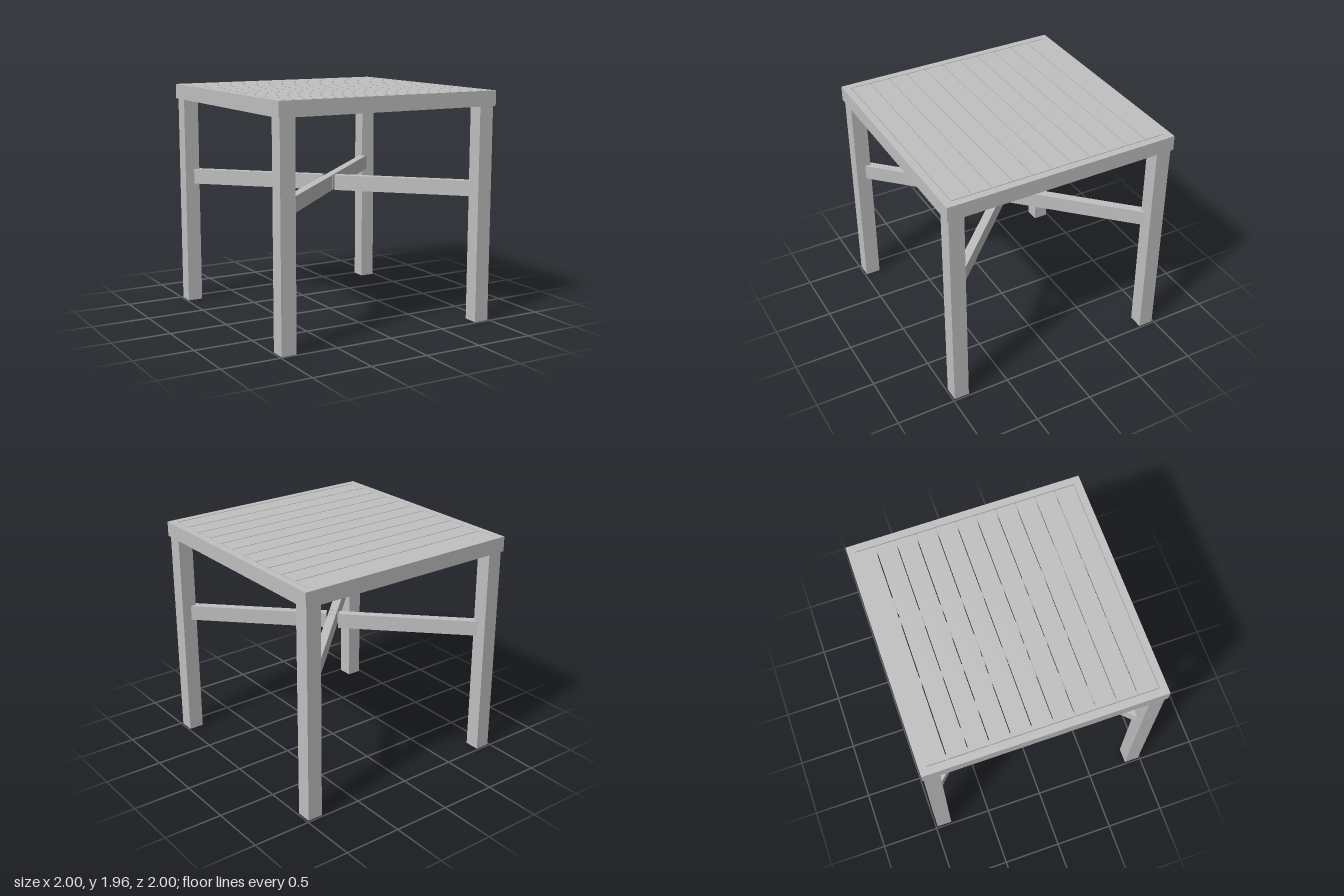
import * as THREE from 'three';

export function createModel() {
  const table = new THREE.Group();
  table.name = 'slattedTable';
  const grey = new THREE.MeshStandardMaterial({ color: 0xc0c0c0 });
  grey.name = 'light grey';

  const add = (name, geometry, x = 0, y = 0, z = 0, parent = table) => {
    const mesh = new THREE.Mesh(geometry, grey);
    mesh.name = name;
    mesh.position.set(x, y, z);
    parent.add(mesh);
    return mesh;
  };
  const box = (name, w, h, d, x, y, z, parent) =>
    add(name, new THREE.BoxGeometry(w, h, d), x, y, z, parent);

  // Square tube standing on the ground plane, outer and inner half widths
  const squareTube = (outer, inner, height) => {
    const square = (Type, r) => new Type([
      new THREE.Vector2(-r, -r), new THREE.Vector2(r, -r),
      new THREE.Vector2(r, r), new THREE.Vector2(-r, r),
    ]);
    const shape = square(THREE.Shape, outer);
    shape.holes.push(square(THREE.Path, inner));
    return new THREE.ExtrudeGeometry(shape, { depth: height, bevelEnabled: false })
      .rotateX(-Math.PI / 2);
  };

  // Apron frame around the top
  const top = 1.955, slatThick = 0.025, under = top - slatThick;
  add('apronFrame', squareTube(1, 0.938, 0.127), 0, 1.828, 0);

  // Slats running left to right, flush with the frame
  for (let i = 0; i < 11; i++) {
    box('slat', 1.862, slatThick, 0.163, 0, top - slatThick / 2, -0.8575 + i * 0.1705);
  }

  // Support bars under the slats
  for (const s of [-1, 1]) {
    box('supportBar', 0.05, 0.05, 1.876, s * 0.265, under - 0.025, 0);
    box('sideLedge', 0.05, 0.05, 1.876, s * 0.912, under - 0.025, 0);
  }
  box('crossSupport', 0.48, 0.05, 0.05, 0, under - 0.025, 0);

  // Socket below the centre
  add('centreSocket', new THREE.CylinderGeometry(0.06, 0.06, under - 1.775, 32),
    0, (under + 1.775) / 2, 0);

  // Hollow legs
  for (const sx of [-1, 1]) for (const sz of [-1, 1]) {
    add('leg', squareTube(0.065, 0.058, under), sx * 0.92, 0, sz * 0.92);
  }

  // Diagonal braces meeting at a small hub
  const braces = new THREE.Group();
  braces.name = 'crossBraces';
  braces.position.y = 1.136;
  table.add(braces);
  const t = 0.07, start = t / 2 + 0.018, end = 1.209 + t / 2;
  for (let i = 0; i < 4; i++) {
    const arm = new THREE.BoxGeometry(end - start, 0.13, t)
      .translate((start + end) / 2, 0, 0);
    add('braceArm', arm, 0, 0, 0, braces).rotation.y = Math.PI / 4 + i * Math.PI / 2;
  }
  box('braceHub', t, 0.13, t, 0, 0, 0, braces).rotation.y = Math.PI / 4;

  return table;
}
